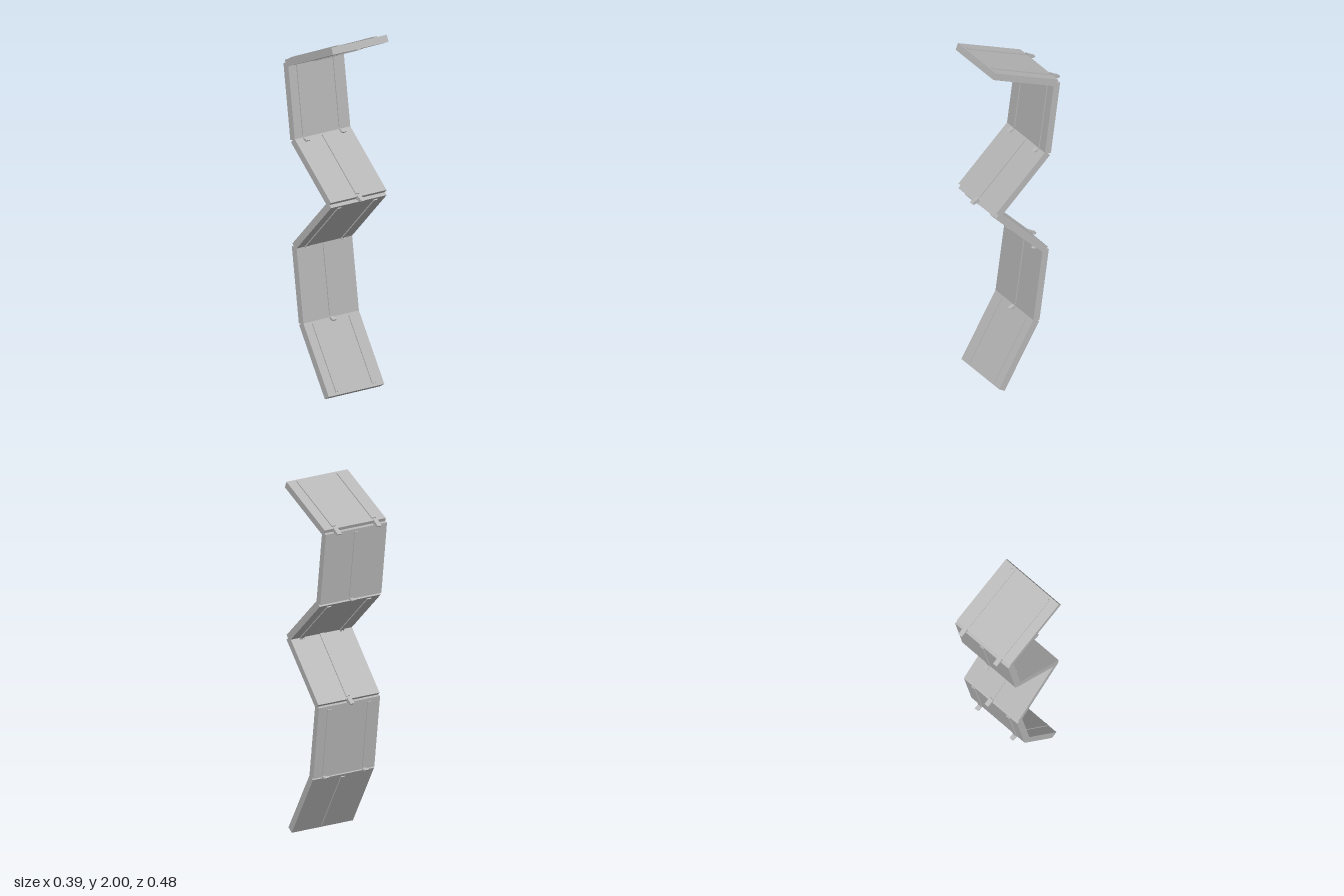
import * as THREE from 'three';

const WIDTH = 0.388, THICK = 0.04, RIB_W = 0.025, RIB_H = 0.006, RIB_X = 0.127;

// Hinge line of the folded strip, bottom to top, as [z, y]
const JOINTS = [
  [0.165, 0.01], [-0.055, 0.379], [-0.115, 0.803], [0.187, 1.107],
  [-0.128, 1.4], [-0.187, 1.822], [0.211, 1.982],
];

export function createModel() {
  const model = new THREE.Group();
  model.name = 'foldedPanelStrip';
  const grey = new THREE.MeshStandardMaterial({ color: 0xb8b8b8 });
  grey.name = 'plain grey';

  const addMesh = (parent, name, geometry) => {
    const mesh = new THREE.Mesh(geometry, grey);
    mesh.name = name;
    parent.add(mesh);
    return mesh;
  };

  for (let i = 0; i < JOINTS.length - 1; i++) {
    const [z0, y0] = JOINTS[i], [z1, y1] = JOINTS[i + 1];
    const length = Math.hypot(z1 - z0, y1 - y0);
    const dz = (z1 - z0) / length, dy = (y1 - y0) / length;

    // Panel group: local y runs up the panel, local z points out of its front
    const section = new THREE.Group();
    section.name = `section${i + 1}`;
    section.position.set(0, y0, z0);
    section.rotation.x = Math.atan2(dz, dy);
    model.add(section);

    const panel = addMesh(section, 'panel', new THREE.BoxGeometry(WIDTH, length, THICK));
    panel.position.y = length / 2;

    for (const side of [1, -1]) {
      // A pair of ribs on one face and a single rib on the other, swapping each panel
      const paired = (i % 2 === 0) === (side === 1);
      for (const x of paired ? [-RIB_X, RIB_X] : [0]) {
        const rib = addMesh(section, 'rib',
          new THREE.BoxGeometry(RIB_W, length - 0.034, RIB_H));
        rib.position.set(x, length / 2, side * (THICK + RIB_H) / 2);

        // Wedge catch at the lower end of the rib, pointing level outwards
        if (i === 0) continue;
        const profile = new THREE.Shape([
          new THREE.Vector2(0, 0),
          new THREE.Vector2(side * 0.045, -0.008),
          new THREE.Vector2(side * 0.055, 0),
          new THREE.Vector2(0.008 * dz + side * 0.027 * dy, 0.008 * dy - side * 0.027 * dz),
        ]);
        const wedge = new THREE.ExtrudeGeometry(profile, { depth: RIB_W, bevelEnabled: false });
        wedge.translate(0, 0, -RIB_W / 2);
        wedge.rotateY(-Math.PI / 2); // profile x becomes z
        const hook = addMesh(model, 'catch', wedge);
        hook.position.set(x, y0, z0);
      }
    }
  }
  return model;
}
